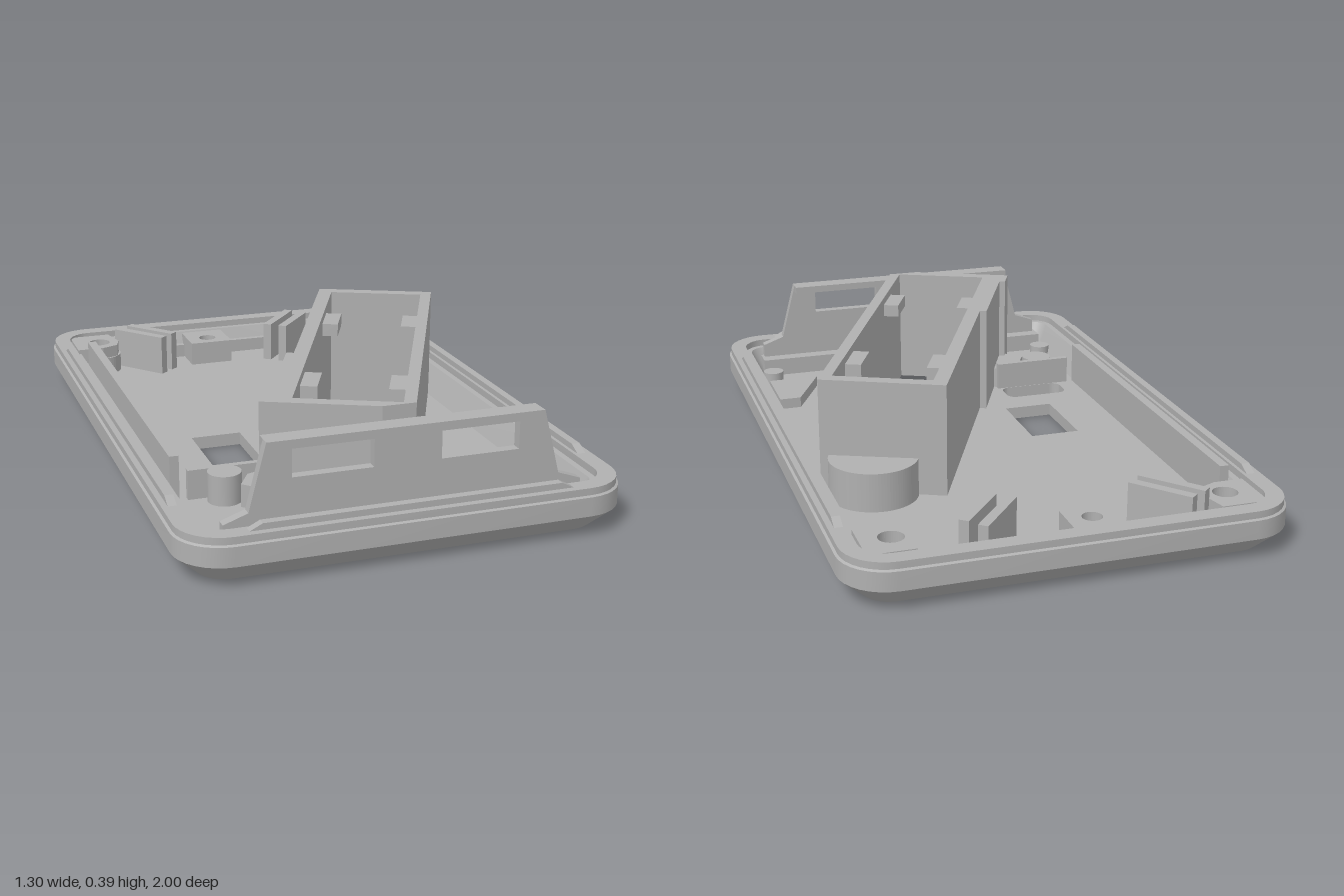
import * as THREE from 'three';
import { toCreasedNormals } from 'three/addons/utils/BufferGeometryUtils.js';

const grey = new THREE.MeshStandardMaterial({ color: 0xb0b0b0 });
grey.name = 'grey plastic';

// Battery box frame: centre and turn about y
const BOX = { x: 0.122, z: 0.229, turn: -0.44 };

function add(parent, name, geometry) {
  const mesh = new THREE.Mesh(geometry, grey);
  mesh.name = name;
  parent.add(mesh);
  return mesh;
}

// Axis-aligned block given by its limits
function block(parent, name, x0, x1, y0, y1, z0, z1) {
  const mesh = add(parent, name, new THREE.BoxGeometry(x1 - x0, y1 - y0, z1 - z0));
  mesh.position.set((x0 + x1) / 2, (y0 + y1) / 2, (z0 + z1) / 2);
  return mesh;
}

function post(parent, name, x, z, r, y0, y1) {
  const g = new THREE.CylinderGeometry(r, r, y1 - y0, 24);
  add(parent, name, g).position.set(x, (y0 + y1) / 2, z);
}

const points = (list) => list.map(([x, z]) => new THREE.Vector2(x, z));
const polygon = (list) => new THREE.Shape(points(list));
const rect = (x0, x1, z0, z1) => [[x0, z0], [x1, z0], [x1, z1], [x0, z1]];
const circle = (x, z, r) => new THREE.Path().absarc(x, z, r, 0, Math.PI * 2);

// Rounded rectangle as a ring of [x, z] points
function roundRect(hx, hz, r, cx = 0, cz = 0, steps = 8) {
  const ring = [];
  [[1, 1], [-1, 1], [-1, -1], [1, -1]].forEach(([sx, sz], k) => {
    for (let i = 0; i <= steps; i++) {
      const a = (k + i / steps) * Math.PI / 2;
      ring.push([cx + sx * (hx - r) + r * Math.cos(a), cz + sz * (hz - r) + r * Math.sin(a)]);
    }
  });
  return ring;
}

// Plan outline in (x, z) raised from y0 to y1
function slab(parent, name, shape, y0, y1) {
  const g = new THREE.ExtrudeGeometry(shape, { depth: y1 - y0, bevelEnabled: false, curveSegments: 24 });
  g.rotateX(Math.PI / 2).translate(0, y1, 0);
  return add(parent, name, g);
}

// Wall skin through stacked rounded rectangles [hx, hz, radius, y]
function loft(sections) {
  const position = [], index = [];
  const n = roundRect(1, 1, 0.1).length;
  sections.forEach(([hx, hz, r, y]) => roundRect(hx, hz, r).forEach(([x, z]) => position.push(x, y, z)));
  for (let i = 0; i < sections.length - 1; i++) {
    for (let j = 0; j < n; j++) {
      const a = i * n + j, b = i * n + (j + 1) % n;
      index.push(a, a + n, b, a + n, b + n, b);
    }
  }
  const g = new THREE.BufferGeometry();
  g.setAttribute('position', new THREE.Float32BufferAttribute(position, 3));
  g.setIndex(index);
  return toCreasedNormals(g, 0.5);
}

export function createModel() {
  const model = new THREE.Group();
  model.name = 'enclosureHalf';

  // Tray wall: chamfered foot, lip, rim, inner step and sloping inside
  add(model, 'trayWall', loft([
    [0.58, 0.93, 0.08, 0], [0.65, 1, 0.14, 0.065], [0.65, 1, 0.14, 0.122],
    [0.643, 0.993, 0.133, 0.126], [0.643, 0.993, 0.133, 0.147], [0.59, 0.94, 0.08, 0.147],
    [0.59, 0.94, 0.08, 0.125], [0.57, 0.92, 0.06, 0.125], [0.53, 0.88, 0.04, 0.039],
  ]));

  // Floor with its openings
  const cavity = rect(-0.1475, 0.1575, -0.565, 0.565);
  const c = Math.cos(BOX.turn), s = Math.sin(BOX.turn);
  const toFloor = ([x, z]) => [BOX.x + x * c + z * s, BOX.z - x * s + z * c];
  const floor = polygon(roundRect(0.58, 0.93, 0.08));
  floor.holes.push(
    new THREE.Path(points(cavity.map(toFloor))),
    new THREE.Path(points(rect(-0.36, -0.2, -0.02, 0.25))),
    new THREE.Path(points(roundRect(0.107, 0.05, 0.03, -0.355, 0.4))),
    circle(-0.49, -0.83, 0.06), circle(0.49, -0.83, 0.06),
  );
  slab(model, 'floor', floor, 0, 0.04);

  // Slanted battery box, open at top and bottom
  const box = new THREE.Group();
  box.name = 'batteryBox';
  box.position.set(BOX.x, 0, BOX.z);
  box.rotation.y = BOX.turn;
  model.add(box);
  const outline = polygon([
    [-0.1925, -0.605], [0.1925, -0.605], [0.1925, 0.563], [0.1025, 0.605], [-0.235, 0.605],
    [-0.235, 0.52], [-0.215, 0.52], [-0.215, 0.15], [-0.1925, 0.15],
  ]);
  outline.holes.push(new THREE.Path(points(cavity)));
  slab(box, 'batteryBoxWall', outline, 0.035, 0.39);
  for (const z of [-0.32, 0.32]) {
    block(box, 'batteryClipRight', -0.16, -0.097, 0.325, 0.365, z - 0.065, z + 0.065);
    block(box, 'batteryClipLeft', 0.107, 0.17, 0.325, 0.365, z - 0.065, z + 0.065);
  }
  // Half-round boss at the back end of the box
  const boss = new THREE.Shape().absarc(0.41, -0.32, 0.135, Math.PI * 1.13, Math.PI * 2.13);
  slab(model, 'roundBoss', boss, 0.035, 0.16);

  // Upright front panel with two windows and a lip along its top
  const panel = polygon([
    [-0.52, 0.09], [0.52, 0.09], [0.52, 0.145], [0.45, 0.17],
    [0.4, 0.36], [-0.4, 0.36], [-0.45, 0.17], [-0.52, 0.145],
  ]);
  panel.holes.push(
    new THREE.Path(points(rect(-0.33, -0.1, 0.255, 0.335))),
    new THREE.Path(points(rect(0.095, 0.325, 0.255, 0.335))),
  );
  const panelGeometry = new THREE.ExtrudeGeometry(panel, { depth: 0.03, bevelEnabled: false });
  add(model, 'frontPanel', panelGeometry).position.z = 0.88;
  block(model, 'frontPanelLip', -0.4, 0.4, 0.337, 0.36, 0.85, 0.885);
  block(model, 'frontShelf', -0.53, 0.53, 0.035, 0.1, 0.835, 0.92);
  block(model, 'panelFoot', -0.08, 0.08, 0.095, 0.14, 0.84, 0.885);

  // Mating ribs on the rim, tapered at both ends
  const ribShape = (half) => polygon([[-half, 0.14], [half, 0.14], [half - 0.05, 0.165], [-half + 0.05, 0.165]]);
  const rib = (half, name) =>
    add(model, name, new THREE.ExtrudeGeometry(ribShape(half), { depth: 0.025, bevelEnabled: false }).translate(0, 0, -0.0125));
  rib(0.48, 'frontRimRib').position.z = 0.96;
  for (const side of [-1, 1]) {
    const r = rib(0.76, 'sideRimRib');
    r.rotation.y = Math.PI / 2;
    r.position.x = side * 0.613;
  }
  block(model, 'innerSideWall', -0.55, -0.522, 0.035, 0.175, -0.73, 0.46);

  for (const side of [-1, 1]) {
    // Back corner screw pads over counterbored posts
    const pad = polygon([
      [side * 0.58, -0.92], [side * 0.44, -0.92], [side * 0.42, -0.83], [side * 0.435, -0.78],
      [side * 0.49, -0.757], [side * 0.58, -0.757],
    ]);
    pad.holes.push(circle(side * 0.49, -0.83, 0.037));
    slab(model, 'screwPad', pad, 0.09, 0.14);
    const tube = new THREE.Shape().absarc(side * 0.49, -0.83, 0.075, 0, Math.PI * 2);
    tube.holes.push(circle(side * 0.49, -0.83, 0.06));
    slab(model, 'screwPost', tube, 0.035, 0.1);
    post(model, 'frontPeg', side * 0.51, 0.77, 0.035, 0.035, 0.08);

    // Paired slanted clip slats
    const clip = new THREE.Group();
    clip.name = 'slantedClip';
    clip.position.set(side * 0.265 - 0.055, 0, -0.805);
    clip.rotation.y = side * -0.7;
    model.add(clip);
    block(clip, 'clipSlatOuter', -0.045, -0.015, 0.035, 0.175, -0.11, 0.1);
    block(clip, 'clipSlatInner', 0.015, 0.045, 0.035, 0.175, -0.1, 0.1);
  }

  // Back centre block with screw socket, and ledge along the back wall
  const socket = polygon(rect(-0.16, -0.01, -0.93, -0.77));
  socket.holes.push(circle(-0.085, -0.83, 0.03));
  slab(model, 'backBlock', socket, 0.035, 0.12);
  block(model, 'backLedge', -0.45, 0.45, 0.035, 0.085, -0.925, -0.88);

  // Bracket, screw post and slot wall near the right front
  block(model, 'bracketWall', -0.5, -0.24, 0.035, 0.13, 0.452, 0.472);
  post(model, 'bracketPost', -0.4, 0.505, 0.05, 0.035, 0.13);
  slab(model, 'bracketGusset', polygon([[-0.33, 0.5], [-0.24, 0.47], [-0.2, 0.5], [-0.3, 0.64], [-0.37, 0.57]]), 0.035, 0.11);

  // Low raised areas on the left side of the floor
  slab(model, 'frontLeftWedge', polygon([[0.37, 0.68], [0.54, 0.68], [0.54, 0.48], [0.47, 0.48]]), 0.035, 0.075);
  slab(model, 'backLeftStep', polygon([[0.28, -0.78], [0.54, -0.78], [0.54, -0.52], [0.47, -0.57]]), 0.035, 0.055);

  return model;
}
